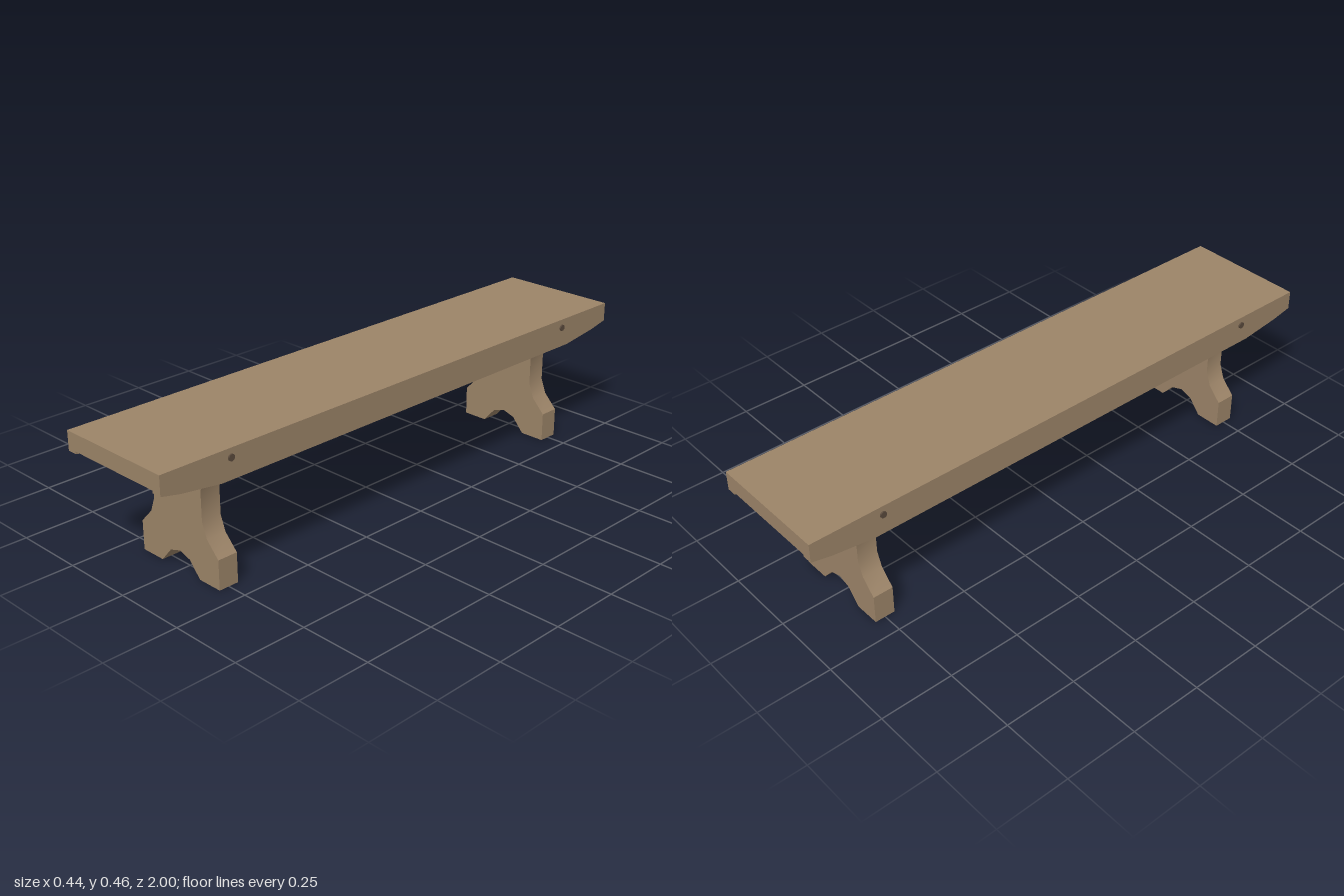
import * as THREE from 'three';
import { toCreasedNormals } from 'three/addons/utils/BufferGeometryUtils.js';

const wood = new THREE.MeshStandardMaterial({ color: 0x9c8468 });
const darkWood = new THREE.MeshStandardMaterial({ color: 0x5a4a3c });

// Extrude an outline, centred on its thickness
function slab(points, depth, crease) {
  const shape = new THREE.Shape(points.map(([x, y]) => new THREE.Vector2(x, y)));
  const geometry = new THREE.ExtrudeGeometry(shape, { depth, bevelEnabled: false });
  geometry.translate(0, 0, -depth / 2);
  return toCreasedNormals(geometry, crease);
}

// Complete a half outline (top to bottom on +x) with its mirror image
function mirrored(half) {
  const other = half.filter(([x]) => x > 0).map(([x, y]) => [-x, y]).reverse();
  return [...half, ...other];
}

export function createModel() {
  const model = new THREE.Group();
  model.name = 'bench';

  function add(name, geometry, material, x, y, z) {
    const mesh = new THREE.Mesh(geometry, material);
    mesh.name = name;
    mesh.position.set(x, y, z);
    model.add(mesh);
    return mesh;
  }

  // Seat plank
  add('seat', new THREE.BoxGeometry(0.426, 0.057, 2), wood, 0, 0.4285, 0);

  // Side rails under the seat, tapering up at both ends
  const rail = slab(mirrored([
    [1, 0.4], [1, 0.392], [0.93, 0.377], [0.785, 0.358],
  ]), 0.034, 0.1);
  rail.rotateY(Math.PI / 2);

  // Waisted leg boards with an arched foot
  const leg = slab(mirrored([
    [0.179, 0.4], [0.131, 0.352], [0.112, 0.3], [0.112, 0.2], [0.131, 0.15],
    [0.179, 0.1], [0.179, 0], [0.089, 0], [0.045, 0.05], [0, 0.064],
  ]), 0.07, 0.65);

  // Pegs through the seat edge into the legs
  const peg = new THREE.CylinderGeometry(0.011, 0.011, 0.03, 16);
  peg.rotateZ(Math.PI / 2);

  for (const [side, sx] of [['left', 1], ['right', -1]]) {
    add(side + 'Rail', rail, wood, sx * 0.196, 0, 0);
    for (const [end, sz] of [['Front', 1], ['Back', -1]]) {
      add(side + end + 'Peg', peg, darkWood, sx * 0.203, 0.428, sz * 0.75);
    }
  }
  add('frontLeg', leg, wood, 0, 0, 0.75);
  add('backLeg', leg, wood, 0, 0, -0.75);

  return model;
}
